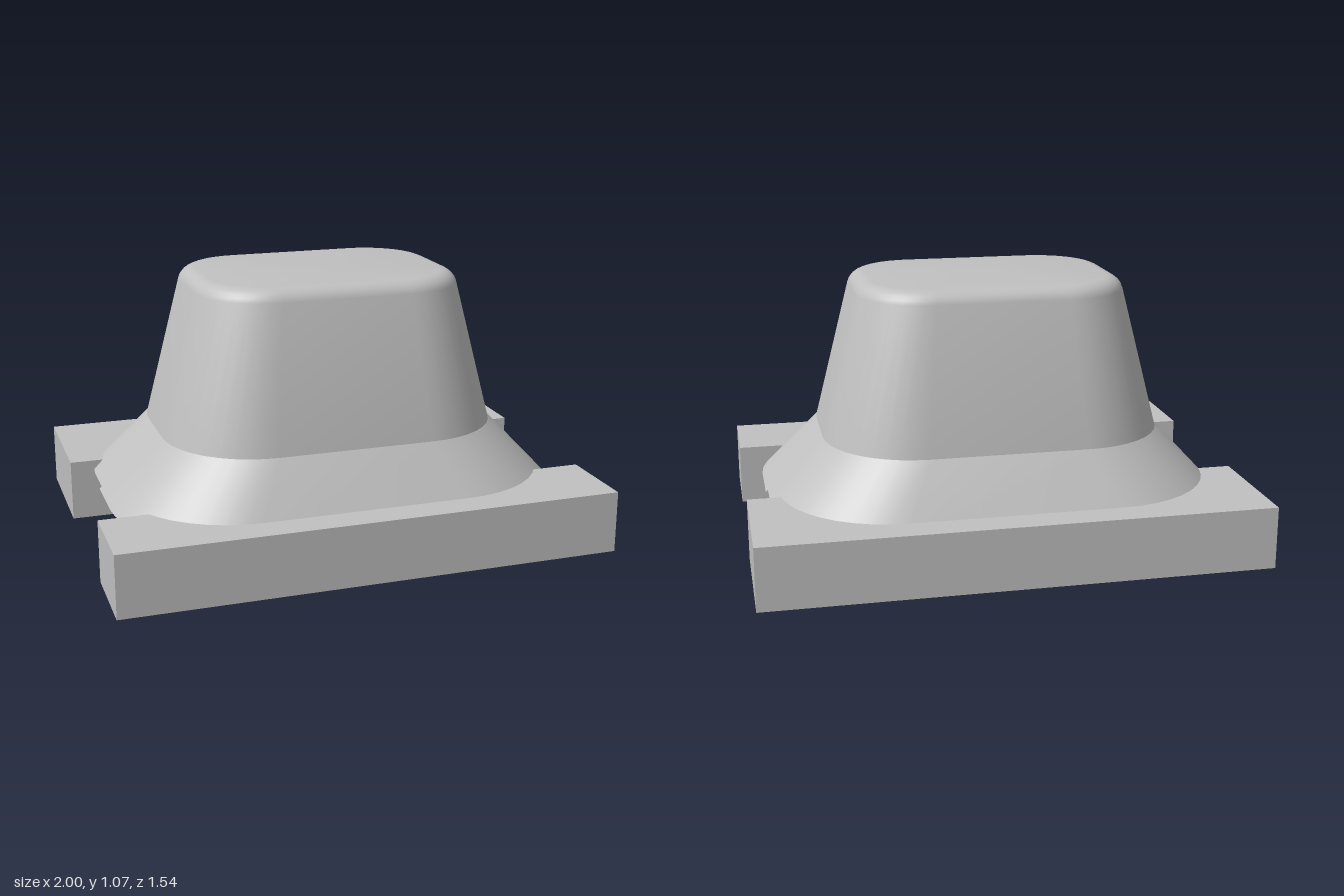
import * as THREE from 'three';
import { toCreasedNormals } from 'three/addons/utils/BufferGeometryUtils.js';

const STEPS = 10; // segments per rounded corner

// Rounded rectangle loop; zMin cuts it off straight at the back
function ring({ y, hx, hz, r }, zMin = -Infinity) {
  const points = [];
  for (let q = 0; q < 4; q++) {
    const sx = q === 0 || q === 3 ? 1 : -1;
    const sz = q < 2 ? 1 : -1;
    for (let i = 0; i <= STEPS; i++) {
      const a = (q + i / STEPS) * Math.PI / 2;
      const x = sx * (hx - r) + r * Math.cos(a);
      const z = sz * (hz - r) + r * Math.sin(a);
      points.push([x, y, Math.max(z, zMin)]);
    }
  }
  return points;
}

// Closed solid through sections listed from bottom to top
function loft(sections, zMin) {
  const rings = sections.map((s) => ring(s, zMin));
  const n = rings[0].length;
  const pos = [];
  const tri = (a, b, c) => pos.push(...a, ...b, ...c);
  for (let k = 0; k < rings.length - 1; k++) {
    for (let i = 0; i < n; i++) {
      const j = (i + 1) % n;
      tri(rings[k][i], rings[k + 1][i], rings[k][j]);
      tri(rings[k][j], rings[k + 1][i], rings[k + 1][j]);
    }
  }
  const bottom = rings[0], top = rings[rings.length - 1];
  for (let i = 0; i < n; i++) {
    const j = (i + 1) % n;
    tri([0, sections[0].y, 0.1], bottom[i], bottom[j]);
    tri([0, sections[sections.length - 1].y, 0.1], top[j], top[i]);
  }
  const geometry = new THREE.BufferGeometry();
  geometry.setAttribute('position', new THREE.Float32BufferAttribute(pos, 3));
  return toCreasedNormals(geometry, 0.37);
}

export function createModel() {
  const group = new THREE.Group();
  const grey = new THREE.MeshStandardMaterial({ color: 0xc0c0c0 });
  grey.name = 'light grey';

  const add = (name, geometry) => {
    const mesh = new THREE.Mesh(geometry, grey);
    mesh.name = name;
    group.add(mesh);
    return mesh;
  };

  // Two base rails, the back one wider
  const rail = (name, z0, z1) =>
    add(name, new THREE.BoxGeometry(2, 0.25, z1 - z0)).position.set(0, 0.125, (z0 + z1) / 2);
  rail('frontRail', 0.425, 0.77);
  rail('backRail', -0.77, -0.253);

  // Flared skirt, tapering walls and a rounded top edge
  const sections = [
    { y: 0.21, hx: 0.907, hz: 0.672, r: 0.47 },
    { y: 0.45, hx: 0.685, hz: 0.51, r: 0.37 },
  ];
  for (let i = 0; i <= 5; i++) {
    const a = 0.2 + (i / 5) * (Math.PI / 2 - 0.2);
    const inset = 0.07 * (1 - Math.cos(a));
    sections.push({ y: 1.01 + 0.062 * Math.sin(a), hx: 0.542 - inset, hz: 0.402 - inset, r: 0.28 - inset });
  }
  add('body', loft(sections));

  // Shallow step under the front part of the skirt
  add('skirtLip', loft([
    { y: 0.2, hx: 0.916, hz: 0.679, r: 0.475 },
    { y: 0.21, hx: 0.907, hz: 0.672, r: 0.47 },
  ], -0.04));

  return group;
}
